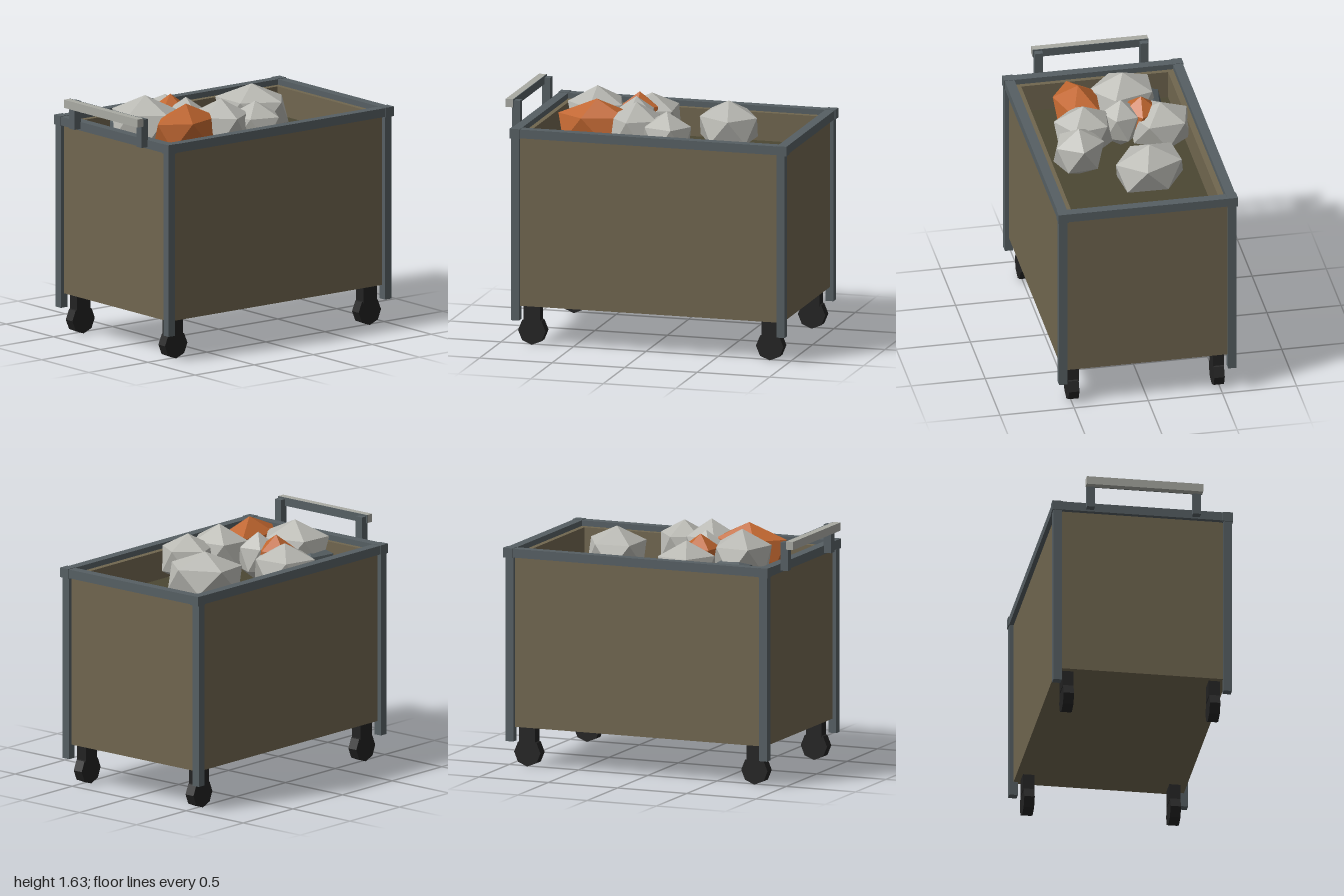
import * as THREE from 'three';

const mat = (name, color) => {
  const m = new THREE.MeshStandardMaterial({ color });
  m.name = name;
  return m;
};

export function createModel() {
  const steel = mat('slate steel', 0x565f63);
  const canvas = mat('tan panel', 0x70664f);
  const olive = mat('dark olive', 0x4b4733);
  const rubber = mat('black rubber', 0x222222);
  const pale = mat('pale stone', 0xb8b8b2);
  const rust = mat('rust orange', 0xc0662f);
  const grip = mat('light grip', 0xa9aaa3);

  const model = new THREE.Group();
  model.name = 'cart';

  // Box given by its min and max corners
  const box = (name, material, [x0, y0, z0], [x1, y1, z1]) => {
    const mesh = new THREE.Mesh(new THREE.BoxGeometry(x1 - x0, y1 - y0, z1 - z0), material);
    mesh.position.set((x0 + x1) / 2, (y0 + y1) / 2, (z0 + z1) / 2);
    mesh.name = name;
    model.add(mesh);
    return mesh;
  };

  // Hollow bin: walls, floor and the inner fill surface
  box('leftWall', canvas, [0.895, 0.275, -0.57], [0.96, 1.44, 0.57]);
  box('rightWall', canvas, [-0.875, 0.275, -0.57], [-0.81, 1.44, 0.57]);
  box('frontWall', canvas, [-0.81, 0.275, 0.495], [0.895, 1.44, 0.57]);
  box('backWall', canvas, [-0.81, 0.275, -0.57], [0.895, 1.44, -0.495]);
  box('binFloor', canvas, [-0.81, 0.275, -0.495], [0.895, 0.31, 0.495]);
  box('innerTray', olive, [-0.81, 1.22, -0.495], [0.895, 1.25, 0.495]);

  // Rim bars
  for (const s of [-1, 1]) {
    const z = [s * 0.535, s * 0.6].sort((a, b) => a - b);
    box(s > 0 ? 'frontRim' : 'backRim', steel, [-0.84, 1.418, z[0]], [0.93, 1.477, z[1]]);
  }
  box('rightRim', steel, [-0.907, 1.418, -0.535], [-0.842, 1.477, 0.535]);
  box('leftRim', steel, [0.93, 1.418, -0.535], [0.995, 1.477, 0.535]);

  // Corner caps, posts and casters
  const wheelGeo = new THREE.CylinderGeometry(0.095, 0.095, 0.07, 8).toNonIndexed();
  wheelGeo.rotateX(Math.PI / 2);
  wheelGeo.computeVertexNormals();
  for (const sx of [-1, 1]) for (const sz of [-1, 1]) {
    const cx = 0.045 + sx * 0.92, px = 0.041 + sx * 0.916, wx = 0.04 + sx * 0.82;
    const cz = sz * 0.57, wz = sz * 0.49;
    box('cornerCap', steel, [cx - 0.035, 1.415, cz - 0.035], [cx + 0.035, 1.48, cz + 0.035]);
    box('post', steel, [px - 0.028, 0.18, cz - 0.028], [px + 0.028, 1.415, cz + 0.028]);
    box('casterBracket', rubber, [wx - 0.057, 0.16, wz - 0.038], [wx + 0.057, 0.275, wz + 0.038]);
    const wheel = new THREE.Mesh(wheelGeo, rubber);
    wheel.position.set(wx, 0.1, wz);
    wheel.name = 'casterWheel';
    model.add(wheel);
  }

  // Push handle
  for (const s of [-1, 1]) {
    box('handleUpright', steel, [-0.96, 1.43, s * 0.355 - 0.027], [-0.905, 1.62, s * 0.355 + 0.027]);
  }
  box('handleGrip', grip, [-1, 1.575, -0.39], [-0.95, 1.63, 0.39]);
  box('gripBacking', steel, [-0.95, 1.575, -0.39], [-0.945, 1.63, 0.39]);

  // Faceted rocks with a vertex on top: material, x, top, z, rx, ry, rz, turn
  const rockGeo = new THREE.IcosahedronGeometry(1, 0);
  rockGeo.rotateZ(Math.atan(2 / (1 + Math.sqrt(5))));
  rockGeo.computeVertexNormals();
  const rocks = [
    [pale, -0.52, 1.64, -0.13, 0.22, 0.19, 0.26, 0.3],
    [steel, -0.53, 1.51, -0.23, 0.18, 0.14, 0.2, 0.2],
    [rust, -0.43, 1.625, 0.19, 0.29, 0.19, 0.175, 0.1],
    [pale, -0.15, 1.625, 0.21, 0.2, 0.19, 0.22, 0.2],
    [pale, 0.08, 1.59, 0.285, 0.18, 0.17, 0.2, 0.7],
    [pale, -0.2, 1.57, -0.32, 0.22, 0.17, 0.235, 0.1],
    [rust, -0.25, 1.6, -0.2, 0.15, 0.17, 0.14, 0.5],
    [pale, -0.23, 1.6, -0.06, 0.15, 0.17, 0.145, 0.2],
    [pale, 0.385, 1.595, -0.13, 0.22, 0.175, 0.28, 0.5],
  ];
  for (const [material, x, top, z, rx, ry, rz, turn] of rocks) {
    const rock = new THREE.Mesh(rockGeo, material);
    rock.scale.set(rx, ry, rz);
    rock.rotation.y = turn;
    rock.position.set(x, top - ry, z);
    rock.name = 'rock';
    model.add(rock);
  }

  return model;
}
